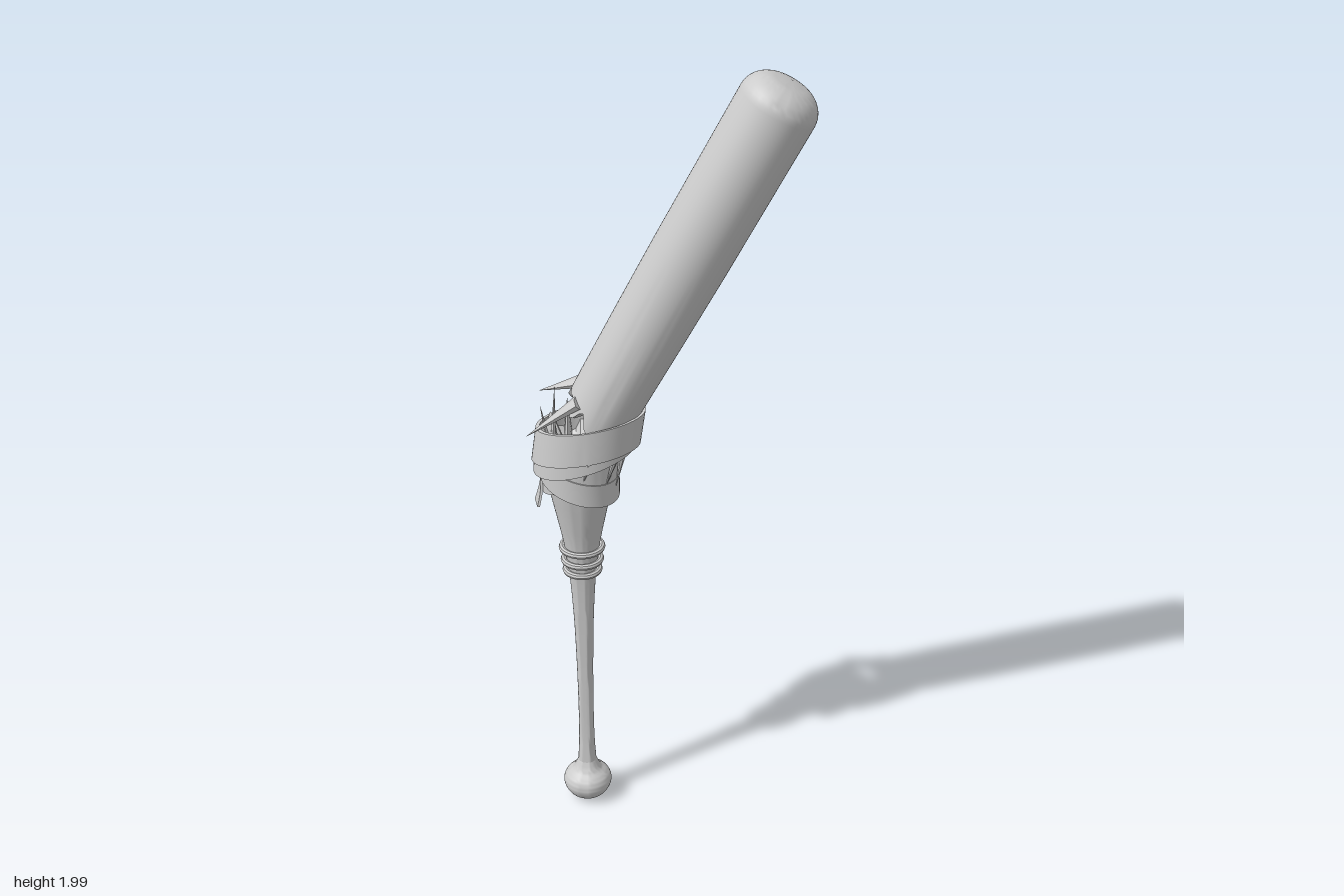
import * as THREE from 'three';
import { toCreasedNormals } from 'three/addons/utils/BufferGeometryUtils.js';

const material = new THREE.MeshStandardMaterial({ color: 0xcccccc, side: THREE.DoubleSide });
const HANDLE_X = -0.21;
const LEAN = 0.484; // lean of the broken barrel towards +x
const v = (x, y, z) => new THREE.Vector3(x, y, z);

function add(group, name, geometry) {
  const mesh = new THREE.Mesh(toCreasedNormals(geometry, 0.7), material);
  mesh.name = name;
  group.add(mesh);
  return mesh;
}

function lathe(points, segments = 48) {
  return new THREE.LatheGeometry(points.map(([r, y]) => new THREE.Vector2(r, y)), segments);
}

// Move every vertex of a geometry by a rule
function deform(geometry, rule) {
  const p = geometry.attributes.position;
  const q = v(0, 0, 0);
  for (let i = 0; i < p.count; i++) {
    rule(q.fromBufferAttribute(p, i));
    p.setXYZ(i, q.x, q.y, q.z);
  }
  geometry.computeVertexNormals();
  return geometry;
}

// Irregular saw-tooth around a broken rim
function jag(q) {
  const a = Math.atan2(q.z, q.x);
  return 0.6 * Math.sin(a * 7 + 0.6) + 0.4 * Math.sin(a * 12 + 2);
}

// Flat pointed splinter from a to b
function splinter(group, a, b, width, depth) {
  const geometry = new THREE.ConeGeometry(width, a.distanceTo(b), 7);
  geometry.scale(1, 1, depth / width);
  const mesh = add(group, 'splinter', geometry);
  mesh.position.copy(a).lerp(b, 0.5);
  const up = b.clone().sub(a).normalize();
  const side = v(0, 0, 1).addScaledVector(up, -up.z).normalize();
  mesh.quaternion.setFromRotationMatrix(
    new THREE.Matrix4().makeBasis(side, up, side.clone().cross(up)));
}

// Slanted oval loop of tape
function tape(group, name, { x, y, rx, rz, height, slope, twist = 0, lean = 0 }) {
  const h = height / 2;
  const geometry = lathe([[0.93, -h], [1, -h], [1, h], [0.93, h], [0.93, -h]], 56);
  deform(geometry, (q) => {
    q.x = q.x * rx + lean * q.y;
    q.z *= rz;
    q.y += slope * q.x + twist * q.z;
  });
  add(group, name, geometry).position.set(x, y, 0);
}

export function createModel() {
  const model = new THREE.Group();
  model.name = 'brokenBat';

  // Handle with smooth flare and jagged top
  const curve = new THREE.SplineCurve([
    [0.024, 0.115], [0.02, 0.2], [0.02, 0.35], [0.023, 0.5], [0.027, 0.6],
    [0.034, 0.7], [0.046, 0.79], [0.062, 0.87], [0.078, 0.95], [0.087, 1.02], [0.09, 1.07],
  ].map(([r, y]) => new THREE.Vector2(r, y)));
  const profile = curve.getPoints(40).map((p) => [p.x, p.y]);
  const handle = lathe([...profile, [0.08, 1.065], [0.045, 1.03], [0, 1.02]]);
  deform(handle, (q) => {
    if (q.y > 1.06) q.y += 0.035 * jag(q) - 0.5 * q.x - 0.02;
  });
  add(model, 'handle', handle).position.x = HANDLE_X;

  // Rounded knob
  const knob = new THREE.SplineCurve([
    [0, 0], [0.03, 0.006], [0.052, 0.023], [0.063, 0.05], [0.056, 0.074], [0.036, 0.092], [0.024, 0.118],
  ].map(([r, y]) => new THREE.Vector2(r, y)));
  add(model, 'knob', new THREE.LatheGeometry(knob.getPoints(24), 40)).position.x = HANDLE_X;

  // Grip rings
  for (const [y, r] of [[0.708, 0.042], [0.738, 0.046], [0.773, 0.05]]) {
    const ring = new THREE.TorusGeometry(r, 0.008, 8, 40).rotateX(Math.PI / 2);
    add(model, 'gripRing', ring).position.set(HANDLE_X, y, 0);
  }

  // Leaning barrel: rounded end, splintered base
  const length = 0.918, round = 0.065, R = 0.093;
  const barrelProfile = [[0, 0.0], [0.045, -0.015], [0.077, -0.039], [0.086, -0.04], [0.088, 0.06], [0.091, 0.25], [R, 0.45]];
  for (let i = 0; i <= 10; i++) {
    const a = (i / 10) * Math.PI / 2;
    barrelProfile.push([R - round + round * Math.cos(a), length - round + (round - 0.006) * Math.sin(a)]);
  }
  barrelProfile.push([0, length]);
  const barrel = deform(lathe(barrelProfile, 56), (q) => {
    if (q.y < -0.03) q.y += 0.025 * jag(q) - 0.5 * q.x;
  });
  const barrelMesh = add(model, 'barrel', barrel);
  barrelMesh.position.set(-0.153, 1.164, 0);
  barrelMesh.rotation.z = -LEAN;

  // Splinters peeling from the barrel and standing on the handle
  const splinters = [
    [v(-0.2, 1.2, 0.055), v(-0.33, 1.1, 0.055), 0.028, 0.016],
    [v(-0.2, 1.21, -0.045), v(-0.318, 1.165, -0.065), 0.028, 0.016],
    [v(-0.275, 1.05, 0.03), v(-0.3, 1.17, 0.02), 0.014, 0.008],
    [v(-0.28, 1.04, -0.03), v(-0.275, 1.19, -0.04), 0.016, 0.008],
    [v(-0.25, 1.05, -0.07), v(-0.25, 1.15, -0.07), 0.018, 0.01],
    [v(-0.25, 1.05, 0.07), v(-0.255, 1.15, 0.068), 0.018, 0.01],
    [v(-0.1, 1.07, 0.0), v(-0.118, 0.965, 0.03), 0.024, 0.012],
    [v(-0.11, 1.07, 0.05), v(-0.14, 0.975, 0.06), 0.02, 0.01],
    [v(-0.11, 1.07, -0.05), v(-0.13, 0.99, -0.05), 0.02, 0.01],
    [v(-0.17, 1.06, 0.085), v(-0.19, 0.995, 0.088), 0.02, 0.008],
  ];
  for (const s of splinters) splinter(model, ...s);

  // Tape wound around the break
  tape(model, 'upperTape', { x: -0.188, y: 1.09, rx: 0.133, rz: 0.107, height: 0.085, slope: 0.2, twist: 0.08, lean: 0.15 });
  tape(model, 'upperTapeLayer', { x: -0.192, y: 1.075, rx: 0.128, rz: 0.103, height: 0.08, slope: 0.32, twist: -0.1, lean: 0.1 });
  tape(model, 'lowerTape', { x: -0.211, y: 0.985, rx: 0.097, rz: 0.096, height: 0.06, slope: -0.3, twist: -0.1 });
  tape(model, 'crossingTape', { x: -0.209, y: 0.985, rx: 0.094, rz: 0.093, height: 0.06, slope: 0.25, twist: 0.2 });

  // Loose tape end hanging on the right side
  const end = deform(new THREE.BoxGeometry(0.006, 0.14, 0.04, 1, 8, 1), (q) => {
    const t = 0.5 - q.y / 0.14;
    q.x += 0.012 * Math.sin(t * Math.PI) + 0.35 * q.z * t;
    q.z += 0.02 * t;
  });
  add(model, 'looseTapeEnd', end).position.set(-0.315, 0.97, 0);

  return model;
}
